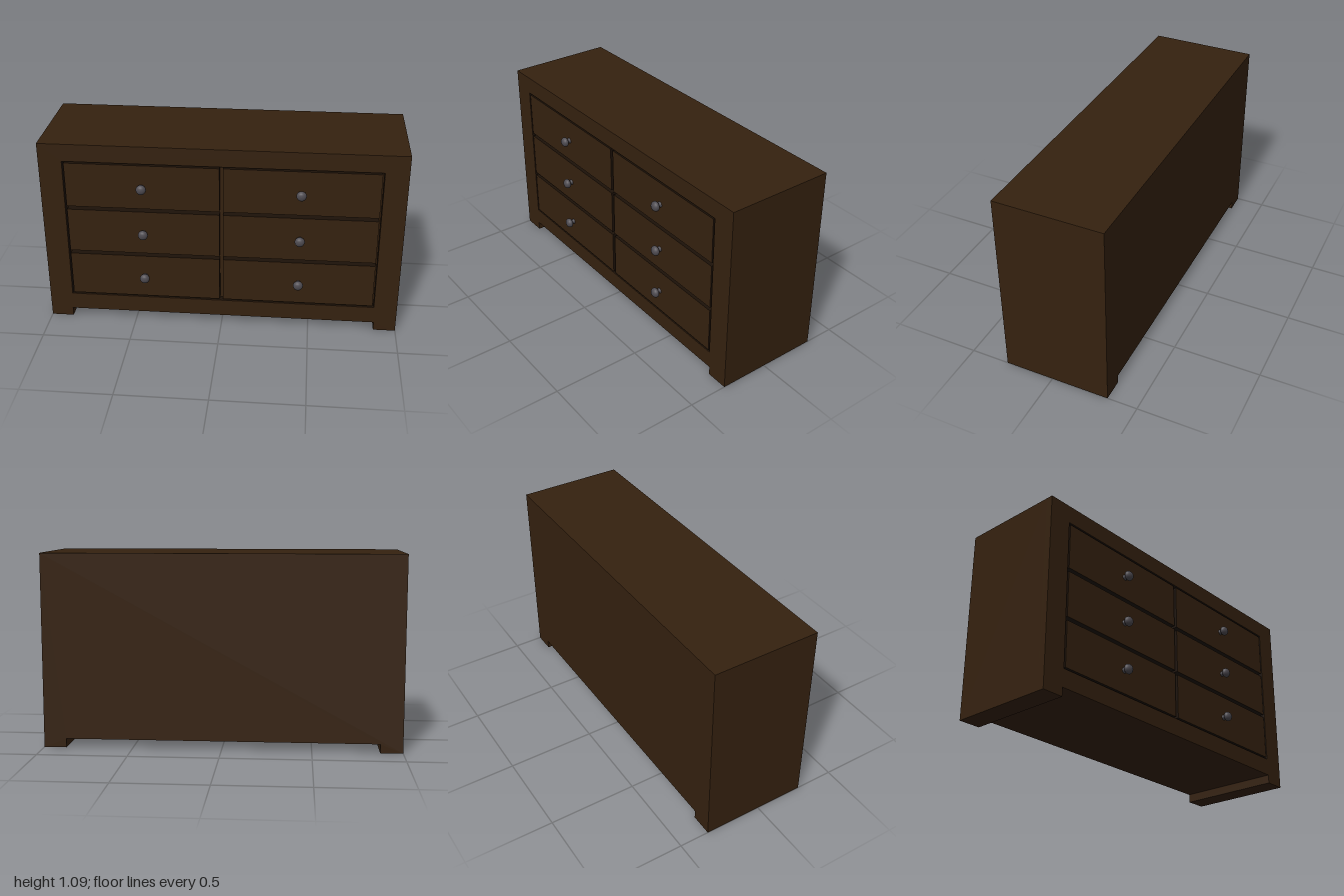
import * as THREE from 'three';

const wood = new THREE.MeshStandardMaterial({ color: 0x35210f });
wood.name = 'dark brown wood';
const gapWood = new THREE.MeshStandardMaterial({ color: 0x1c1108, side: THREE.DoubleSide });
gapWood.name = 'deep brown gap';
const metal = new THREE.MeshStandardMaterial({ color: 0x4d4a50 });
metal.name = 'dark grey metal';

const BACK = -0.33, FRONT = 0.28, RECESS = 0.04, HEIGHT = 1.09;
const OPEN = { x: 0.87, bottom: 0.15, top: 0.99 };
const GAP = 0.01;

function add(parent, name, geometry, material, x = 0, y = 0, z = 0) {
  const mesh = new THREE.Mesh(geometry, material);
  mesh.name = name;
  mesh.position.set(x, y, z);
  parent.add(mesh);
  return mesh;
}

// Front outline with a foot at each end
function outline() {
  return new THREE.Shape([
    [-1, 0], [-0.875, 0], [-0.875, 0.05], [0.875, 0.05],
    [0.875, 0], [1, 0], [1, HEIGHT], [-1, HEIGHT],
  ].map(([x, y]) => new THREE.Vector2(x, y)));
}

const extrude = (shape, depth) =>
  new THREE.ExtrudeGeometry(shape, { depth, bevelEnabled: false });

export function createModel() {
  const model = new THREE.Group();
  model.name = 'dresser';

  // Carcass behind the drawer fronts
  add(model, 'carcass', extrude(outline(), FRONT - RECESS - BACK), wood, 0, 0, BACK);

  // Face frame around the drawer opening
  const frame = outline();
  frame.holes.push(new THREE.Path([
    [-OPEN.x, OPEN.bottom], [-OPEN.x, OPEN.top], [OPEN.x, OPEN.top], [OPEN.x, OPEN.bottom],
  ].map(([x, y]) => new THREE.Vector2(x, y))));
  add(model, 'faceFrame', extrude(frame, RECESS), wood, 0, 0, FRONT - RECESS);

  // Lining of the opening: the four side faces of a box
  const lining = new THREE.BoxGeometry(OPEN.x * 2 - 0.002, OPEN.top - OPEN.bottom - 0.002, RECESS - 0.001);
  lining.setIndex(Array.from(lining.index.array.slice(0, 24)));
  lining.clearGroups();
  add(model, 'openingLining', lining, gapWood, 0, (OPEN.top + OPEN.bottom) / 2, FRONT - RECESS / 2 - 0.0005);

  // Knob profile: radius, distance from the drawer front
  const profile = [
    [0.016, 0], [0.013, 0.006], [0.012, 0.013], [0.016, 0.016], [0.024, 0.02],
    [0.0275, 0.025], [0.028, 0.03], [0.026, 0.038], [0.02, 0.045], [0.011, 0.049], [0, 0.05],
  ].map(([r, h]) => new THREE.Vector2(r, h));
  const knobShape = new THREE.LatheGeometry(profile, 24);
  knobShape.rotateX(Math.PI / 2);

  // Two columns of three drawers
  const cellW = OPEN.x, cellH = (OPEN.top - OPEN.bottom) / 3;
  const drawerShape = new THREE.BoxGeometry(cellW - GAP * 2, cellH - GAP * 2, RECESS);
  const drawerMaterials = [gapWood, gapWood, gapWood, gapWood, wood, wood];
  for (const side of [-1, 1]) {
    for (let row = 0; row < 3; row++) {
      const drawer = new THREE.Group();
      drawer.name = `${side > 0 ? 'left' : 'right'}Drawer${row + 1}`;
      drawer.position.set(side * cellW / 2, OPEN.bottom + cellH * (row + 0.5), FRONT);
      add(drawer, 'drawerFront', drawerShape, drawerMaterials, 0, 0, -RECESS / 2);
      add(drawer, 'knob', knobShape, metal);
      model.add(drawer);
    }
  }
  return model;
}
